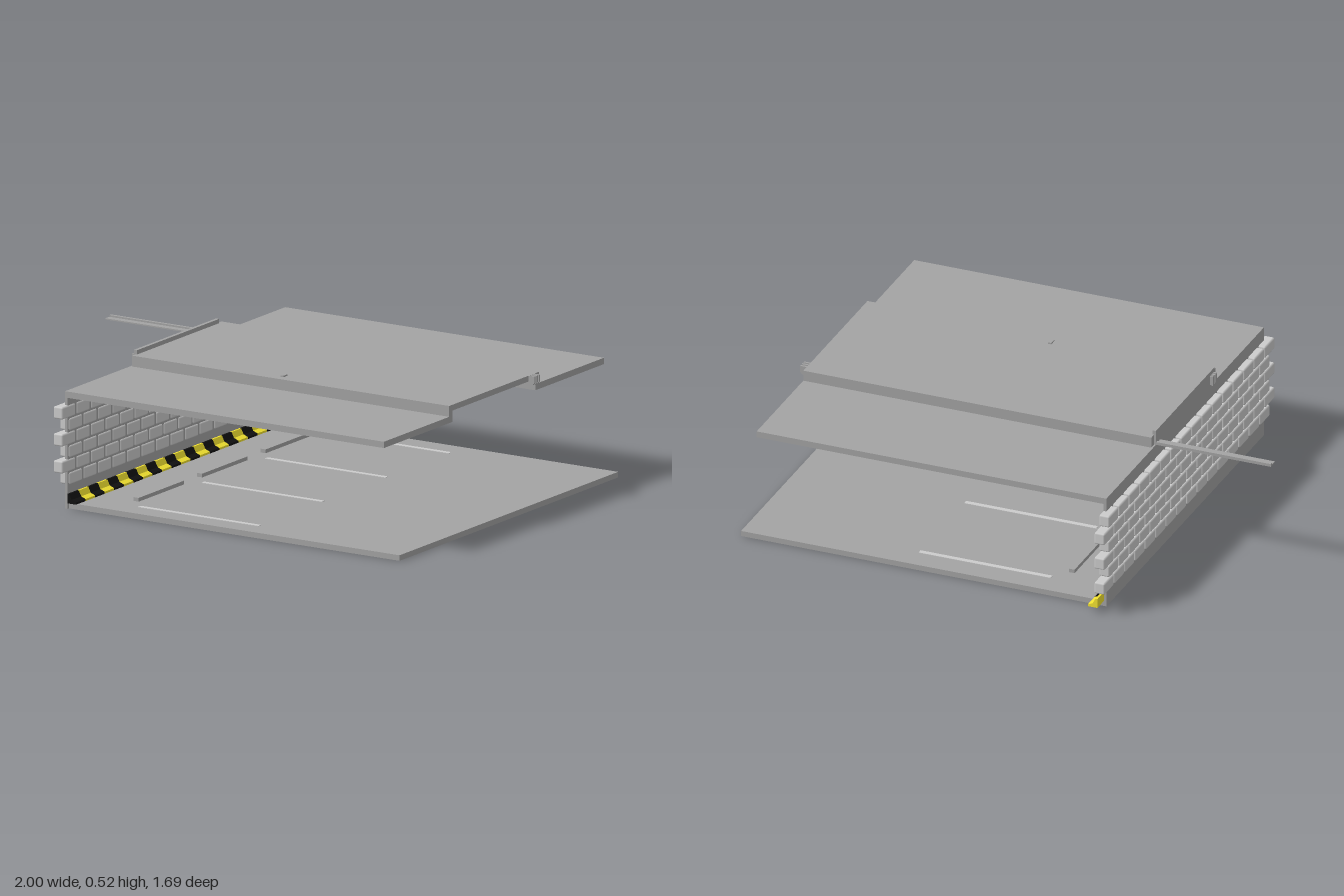
import * as THREE from 'three';
import { RoundedBoxGeometry } from 'three/addons/geometries/RoundedBoxGeometry.js';

const mat = (color) => new THREE.MeshStandardMaterial({ color });
const light = mat(0xcccccc);
const concrete = mat(0xa3a3a3);
const yellow = mat(0xf2e230);
const black = mat(0x111111);

export function createModel() {
  const model = new THREE.Group();

  const add = (name, geometry, material, parent = model) => {
    const mesh = new THREE.Mesh(geometry, material);
    mesh.name = name;
    parent.add(mesh);
    return mesh;
  };

  // Box given by its extents on each axis
  const box = (name, [x0, x1], [y0, y1], [z0, z1], material, parent) => {
    const mesh = add(name, new THREE.BoxGeometry(x1 - x0, y1 - y0, z1 - z0), material, parent);
    mesh.position.set((x0 + x1) / 2, (y0 + y1) / 2, (z0 + z1) / 2);
    return mesh;
  };

  const group = (name) => {
    const g = new THREE.Group();
    g.name = name;
    model.add(g);
    return g;
  };

  // Floor slab with bay lines and wheel stops
  box('floor', [-0.515, 1], [0, 0.022], [-0.755, 0.795], concrete);
  const markings = group('bayMarkings');
  for (const z of [0.7, 0.25, -0.2, -0.65]) {
    box('bayLine', [-0.25, 0.3], [0.02, 0.024], [z - 0.01, z + 0.01], light, markings);
  }
  const stops = group('wheelStops');
  for (const z of [0.475, 0.025, -0.425]) {
    box('wheelStop', [-0.318, -0.295], [0.02, 0.037], [z - 0.16, z + 0.16], concrete, stops);
  }

  // Thin back wall with a raised parapet in the middle
  box('wallPanel', [-0.522, -0.511], [0, 0.465], [-0.755, 0.805], concrete);
  box('parapet', [-0.522, -0.508], [0.44, 0.525], [-0.265, 0.318], concrete);

  // Brick courses, shifted by half a brick on every other row
  const bricks = group('bricks');
  const pitch = 0.103, rowPitch = 0.0535;
  const brickGeometry = new RoundedBoxGeometry(0.044, 0.049, 0.094, 1, 0.007);
  for (let row = 0; row < 6; row++) {
    for (let i = 0; i < 16; i++) {
      const brick = add('brick', brickGeometry, light, bricks);
      const start = row % 2 ? 0.85 : 0.802;
      brick.position.set(-0.529, 0.118 + row * rowPitch, start - pitch * (i + 0.5));
    }
  }

  // Striped curb with a hollowed slope along the foot of the wall
  const curb = group('stripedCurb');
  const curbShape = new THREE.Shape();
  curbShape.moveTo(-0.512, 0.022);
  curbShape.lineTo(-0.472, 0.022);
  curbShape.lineTo(-0.472, 0.03);
  curbShape.lineTo(-0.492, 0.038);
  curbShape.lineTo(-0.503, 0.06);
  curbShape.lineTo(-0.512, 0.06);
  curbShape.closePath();
  const stripe = 1.625 / 24;
  const curbGeometry = new THREE.ExtrudeGeometry(curbShape, { depth: stripe, bevelEnabled: false });
  for (let i = 0; i < 24; i++) {
    add('curbStripe', curbGeometry, i % 2 ? yellow : black, curb).position.z = 0.805 - stripe * (i + 1);
  }

  // Roof sheet: low wings and a raised hollow middle, extruded along x
  const roofProfile = [
    [0.805, 0.44], [0.805, 0.465], [0.342, 0.465], [0.342, 0.508],
    [-0.293, 0.508], [-0.293, 0.465], [-0.755, 0.465], [-0.755, 0.44],
    [-0.268, 0.44], [-0.268, 0.485], [0.318, 0.485], [0.318, 0.44],
  ];
  const roofShape = new THREE.Shape(roofProfile.map(([z, y]) => new THREE.Vector2(-z, y)));
  const roofGeometry = new THREE.ExtrudeGeometry(roofShape, { depth: 1.45, bevelEnabled: false });
  roofGeometry.rotateY(Math.PI / 2);
  add('roof', roofGeometry, concrete).position.x = -0.515;
  box('roofPeg', [0.143, 0.157], [0.505, 0.514], [0.28, 0.31], concrete);

  // Finned brackets at opposite corners of the raised roof
  const bracket = (x0, x1, z) => {
    const g = group('finnedBracket');
    for (let i = -1; i <= 1; i++) {
      const fin = new THREE.Shape();
      fin.moveTo(x0, 0.468);
      fin.lineTo(x1 - 0.008, 0.472);
      fin.lineTo(x1, 0.482);
      fin.lineTo(x1, 0.508);
      fin.lineTo(x0, 0.508);
      const geometry = new THREE.ExtrudeGeometry(fin, { depth: 0.008, bevelEnabled: false });
      add('fin', geometry, concrete, g).position.z = z + i * 0.016 - 0.004;
    }
  };
  bracket(0.93, 0.962, -0.24);
  bracket(-0.535, -0.505, 0.29);

  // Ceiling lamps, the middle one set higher under the raised roof
  const lamps = group('ceilingLamps');
  for (const [z, y] of [[0.505, 0.4], [0.025, 0.443], [-0.455, 0.4]]) {
    box('lamp', [-0.42, -0.045], [y, y + 0.043], [z - 0.03, z + 0.03], light, lamps);
  }

  // Angle bar reaching out behind the wall
  const bar = group('outriggerBar');
  box('barFlange', [-1, -0.51], [0.464, 0.469], [-0.262, -0.222], concrete, bar);
  box('barRib', [-1, -0.51], [0.464, 0.476], [-0.262, -0.25], concrete, bar);

  return model;
}
